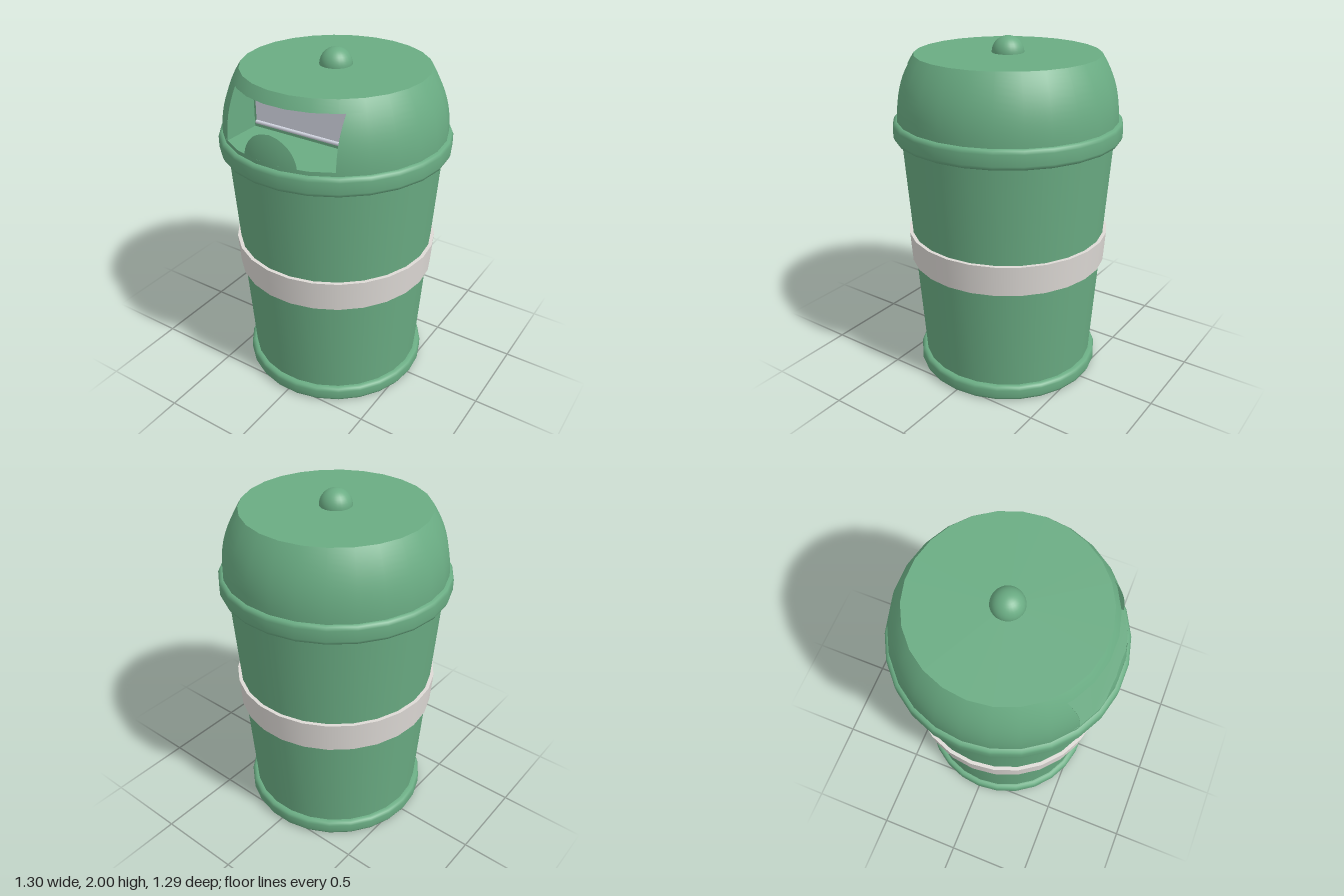
import * as THREE from 'three';

const SIDES = 26;
const STEP = (Math.PI * 2) / SIDES;
const HALF = STEP / 2;

// Opening in the lid
const OPEN = { x: 0.34, y0: 1.575, y1: 1.85, back: 0.29 };
const LID = { y0: 1.55, y1: 1.91 };

const green = new THREE.MeshStandardMaterial({ color: 0x6aac83, side: THREE.DoubleSide });
green.name = 'green plastic';
const bandGrey = new THREE.MeshStandardMaterial({ color: 0xdedad6 });
bandGrey.name = 'warm grey band';
const flapGrey = new THREE.MeshStandardMaterial({ color: 0xd4d7e3 });
flapGrey.name = 'cool grey flap';

function add(parent, name, geometry, material) {
  const mesh = new THREE.Mesh(geometry, material);
  mesh.name = name;
  parent.add(mesh);
  return mesh;
}

// Turned part whose corners fall on the x axis
function turned(points) {
  return new THREE.LatheGeometry(points.map(p => new THREE.Vector2(...p)), SIDES, Math.PI / 2);
}

// Lid radius at a height, and the faceted radius at an angle from the front
const lidRadius = y => 0.625 - 0.108 * Math.pow(Math.max(0, (y - LID.y0) / (LID.y1 - LID.y0)), 2.2);
const facet = phi => Math.cos(HALF) / Math.cos(phi - Math.round(phi / STEP) * STEP);
const angleAt = (x, y) => Math.asin(x / (lidRadius(y) * 0.995));
const lidPoint = (phi, y) => {
  const r = lidRadius(y) * facet(phi);
  return [r * Math.sin(phi), y, r * Math.cos(phi)];
};

// Piece of the lid surface between two heights and two angle limits
function lidPatch(y0, y1, rows, from, to, cols) {
  const pos = [], nor = [], idx = [];
  for (let j = 0; j <= rows; j++) {
    const y = y0 + ((y1 - y0) * j) / rows;
    const slope = (lidRadius(y + 0.001) - lidRadius(y - 0.001)) / 0.002;
    for (let i = 0; i <= cols; i++) {
      const phi = from(y) + ((to(y) - from(y)) * i) / cols;
      pos.push(...lidPoint(phi, y));
      nor.push(...new THREE.Vector3(Math.sin(phi), -slope, Math.cos(phi)).normalize().toArray());
      if (i < cols && j < rows) {
        const a = j * (cols + 1) + i, b = a + cols + 1;
        idx.push(a, a + 1, b, a + 1, b + 1, b);
      }
    }
  }
  const g = new THREE.BufferGeometry();
  g.setAttribute('position', new THREE.Float32BufferAttribute(pos, 3));
  g.setAttribute('normal', new THREE.Float32BufferAttribute(nor, 3));
  g.setIndex(idx);
  return g;
}

// Horizontal recess plate with its front edge following the lid
function recessPlate(y, up) {
  const a = angleAt(OPEN.x, y), pts = [];
  for (let i = 0; i <= 16; i++) {
    const [x, , z] = lidPoint(a - (2 * a * i) / 16, y);
    pts.push(new THREE.Vector2(x, up ? -z : z));
  }
  const back = up ? -OPEN.back : OPEN.back;
  pts.push(new THREE.Vector2(-OPEN.x, back), new THREE.Vector2(OPEN.x, back));
  const g = new THREE.ShapeGeometry(new THREE.Shape(pts));
  g.rotateX(up ? -Math.PI / 2 : Math.PI / 2);
  return g.translate(0, y, 0);
}

// Side wall of the recess, drawn in (-z, y) and turned to face sideways
function recessSide(sign) {
  const pts = [new THREE.Vector2(-OPEN.back, OPEN.y1), new THREE.Vector2(-OPEN.back, OPEN.y0)];
  for (let i = 0; i <= 8; i++) {
    const y = OPEN.y0 + ((OPEN.y1 - OPEN.y0) * i) / 8;
    pts.push(new THREE.Vector2(-lidPoint(angleAt(OPEN.x, y), y)[2], y));
  }
  const g = new THREE.ShapeGeometry(new THREE.Shape(pts));
  return g.rotateY(Math.PI / 2).translate(sign * OPEN.x, 0, 0);
}

function makeLid() {
  const lid = new THREE.Group();
  lid.name = 'lid';
  const edge = 3.5 * STEP;
  const all = [() => -Math.PI + HALF, () => Math.PI + HALF, SIDES];

  // Wall around the opening
  add(lid, 'lidLowerWall', lidPatch(LID.y0, OPEN.y0, 1, ...all), green);
  add(lid, 'lidUpperWall', lidPatch(OPEN.y1, LID.y1, 3, ...all), green);
  add(lid, 'lidBackWall',
    lidPatch(OPEN.y0, OPEN.y1, 8, () => edge, () => 2 * Math.PI - edge, SIDES - 7), green);
  add(lid, 'lidLeftCheek',
    lidPatch(OPEN.y0, OPEN.y1, 8, y => angleAt(OPEN.x, y), () => edge, 4), green);
  add(lid, 'lidRightCheek',
    lidPatch(OPEN.y0, OPEN.y1, 8, () => -edge, y => -angleAt(OPEN.x, y), 4), green);

  // Half-round tab rising in front of the opening
  const tabAngle = y => angleAt(Math.sqrt(Math.max(0, 0.165 ** 2 - (y - 1.555) ** 2)), y);
  add(lid, 'openingTab',
    lidPatch(OPEN.y0, 1.72, 16, y => -tabAngle(y), tabAngle, 8), green);

  // Flat top and knob
  const top = new THREE.CircleGeometry(lidRadius(LID.y1), SIDES).rotateX(-Math.PI / 2);
  add(lid, 'lidTop', top, green).position.y = LID.y1;
  const knob = new THREE.SphereGeometry(0.09, 24, 10, 0, Math.PI * 2, 0, Math.PI / 2);
  add(lid, 'knob', knob, green).position.y = LID.y1;

  // Recess behind the opening
  add(lid, 'recessFloor', recessPlate(OPEN.y0, true), green);
  add(lid, 'recessCeiling', recessPlate(OPEN.y1, false), green);
  for (const sign of [-1, 1]) add(lid, sign > 0 ? 'recessLeftSide' : 'recessRightSide', recessSide(sign), green);
  const back = new THREE.PlaneGeometry(OPEN.x * 2, OPEN.y1 - OPEN.y0);
  add(lid, 'recessBack', back, green).position.set(0, (OPEN.y0 + OPEN.y1) / 2, OPEN.back);

  // Hanging flap with a rod at the top and a rolled lower edge
  add(lid, 'flap', new THREE.BoxGeometry(0.63, 0.22, 0.008), flapGrey).position.set(0, 1.72, 0.302);
  for (const [name, width, radius, y] of [['flapRod', 0.67, 0.015, 1.832], ['flapRolledEdge', 0.63, 0.011, 1.612]]) {
    const rod = new THREE.CylinderGeometry(radius, radius, width, 12).rotateZ(Math.PI / 2);
    add(lid, name, rod, flapGrey).position.set(0, y, 0.306);
  }
  return lid;
}

export function createModel() {
  const bin = new THREE.Group();
  bin.name = 'litterBin';

  // Tapered body with rounded rings at the foot and the rim
  add(bin, 'body', turned([[0.513, 0.08], [0.605, 1.45]]), green);
  add(bin, 'footRing', turned([
    [0.525, 0], [0.539, 0.006], [0.547, 0.022], [0.547, 0.068], [0.539, 0.084], [0.525, 0.09], [0.51, 0.09],
  ]), green);
  const bottom = new THREE.CircleGeometry(0.525, SIDES).rotateX(Math.PI / 2);
  add(bin, 'bottom', bottom, green);
  add(bin, 'rimRing', turned([
    [0.6, 1.443], [0.628, 1.443], [0.642, 1.45], [0.65, 1.468],
    [0.65, 1.53], [0.642, 1.547], [0.628, 1.553], [0.615, 1.553],
  ]), green);

  // Band around the middle: outer wall plus flat edges
  const band = new THREE.Group();
  band.name = 'band';
  add(band, 'bandWall', turned([[0.576, 0.708], [0.588, 0.885]]), bandGrey);
  add(band, 'bandTopEdge', turned([[0.588, 0.885], [0.56, 0.885]]), bandGrey);
  add(band, 'bandBottomEdge', turned([[0.55, 0.708], [0.576, 0.708]]), bandGrey);
  bin.add(band);

  bin.add(makeLid());
  return bin;
}
